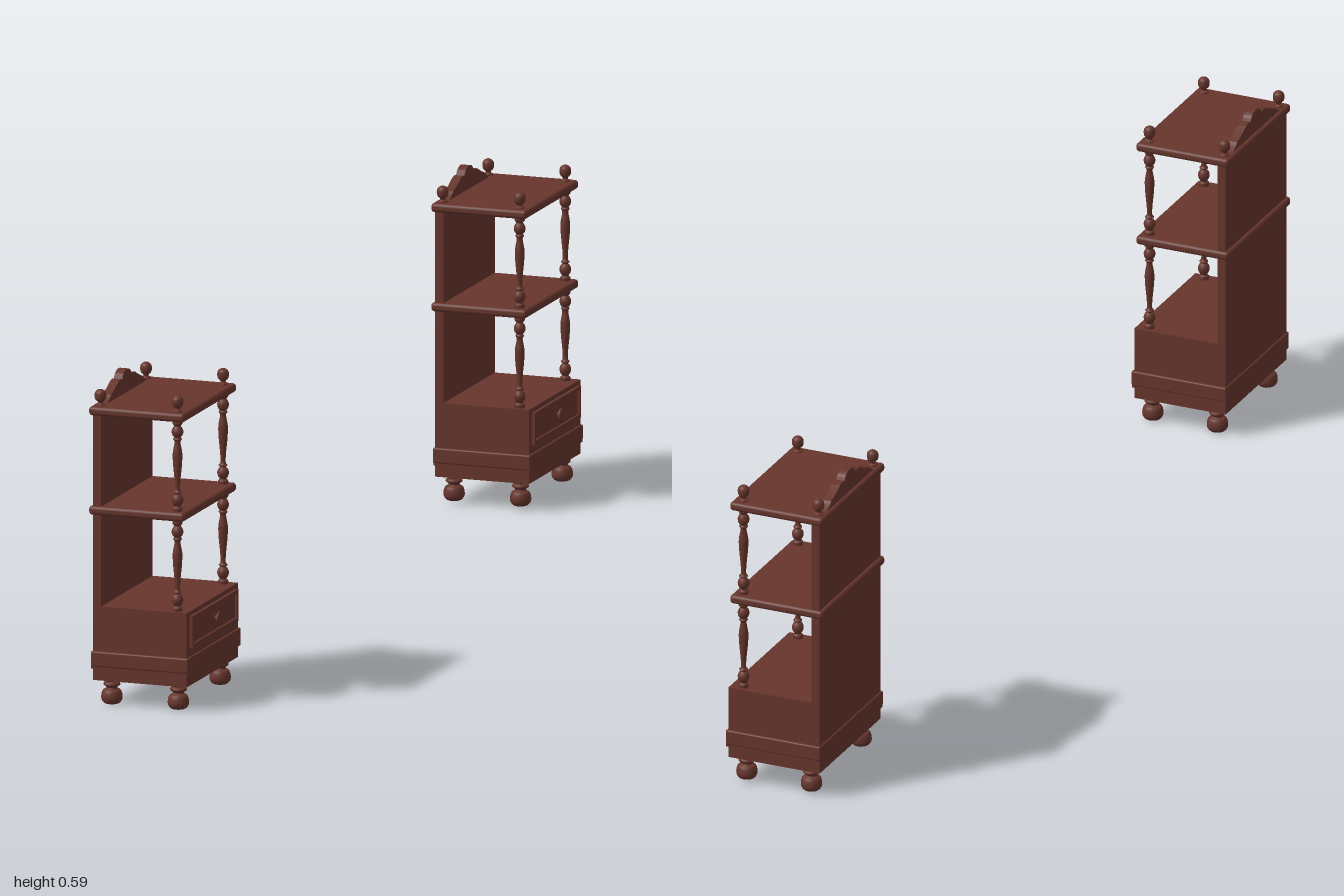
import * as THREE from 'three';
import { RoundedBoxGeometry } from 'three/addons/geometries/RoundedBoxGeometry.js';

const wood = new THREE.MeshStandardMaterial({ color: 0x66352c });
wood.name = 'mahogany';

function add(group, name, geometry, x = 0, y = 0, z = 0) {
  const mesh = new THREE.Mesh(geometry, wood);
  mesh.name = name;
  mesh.position.set(x, y, z);
  group.add(mesh);
  return mesh;
}

// Box given by its x and y limits and its half depth along z
function slab(group, name, x0, x1, y0, y1, halfZ, radius = 0) {
  const size = [x1 - x0, y1 - y0, halfZ * 2];
  const geometry = radius ? new RoundedBoxGeometry(...size, 3, radius) : new THREE.BoxGeometry(...size);
  return add(group, name, geometry, (x0 + x1) / 2, (y0 + y1) / 2, 0);
}

// Smooth turned piece through [radius, height] points, closed at both ends
function turned(points, steps = 48) {
  const curve = new THREE.CatmullRomCurve3(points.map(([r, y]) => new THREE.Vector3(r, y, 0)), false, 'centripetal');
  const profile = curve.getPoints(steps).map(p => new THREE.Vector2(Math.max(p.x, 0), p.y));
  return new THREE.LatheGeometry(profile, 20);
}

const foot = turned([
  [0, 0], [0.012, 0], [0.018, 0.006], [0.019, 0.014], [0.016, 0.024], [0.01, 0.028],
  [0.011, 0.031], [0.015, 0.034], [0.014, 0.038], [0.01, 0.04], [0.014, 0.043], [0.014, 0.046],
]);

const finial = turned([
  [0.009, 0], [0.009, 0.003], [0.005, 0.005], [0.005, 0.008], [0.009, 0.012],
  [0.0105, 0.019], [0.009, 0.026], [0.004, 0.03], [0, 0.031],
]);

// Spindle between two levels: bead, ball, long vase, ball, bead
const spindle = turned([
  [0.009, 0], [0.009, 0.006], [0.006, 0.009], [0.009, 0.014], [0.0105, 0.021], [0.008, 0.028],
  [0.005, 0.031], [0.008, 0.034], [0.005, 0.038], [0.005, 0.052], [0.008, 0.085], [0.0085, 0.105],
  [0.0055, 0.127], [0.008, 0.131], [0.006, 0.134], [0.009, 0.138], [0.0105, 0.145],
  [0.008, 0.152], [0.006, 0.155], [0.009, 0.159], [0.009, 0.166],
], 96);

const knob = turned([
  [0.016, 0], [0.016, 0.002], [0.009, 0.004], [0.005, 0.007], [0.006, 0.009],
  [0.012, 0.011], [0.012, 0.014], [0.006, 0.016], [0, 0.0165],
]);

// Scalloped crest with a round centre lobe, in (z, y)
function crestGeometry() {
  const s = new THREE.Shape();
  s.moveTo(-0.108, 0);
  s.quadraticCurveTo(-0.09, 0.006, -0.082, 0.014);
  s.quadraticCurveTo(-0.062, 0.02, -0.045, 0.029);
  s.quadraticCurveTo(-0.032, 0.034, -0.024, 0.03);
  s.bezierCurveTo(-0.018, 0.049, 0.018, 0.049, 0.024, 0.03);
  s.quadraticCurveTo(0.032, 0.034, 0.045, 0.029);
  s.quadraticCurveTo(0.062, 0.02, 0.082, 0.014);
  s.quadraticCurveTo(0.09, 0.006, 0.108, 0);
  s.closePath();
  const geometry = new THREE.ExtrudeGeometry(s, { depth: 0.016, bevelEnabled: false, curveSegments: 10 });
  return geometry.rotateY(Math.PI / 2);
}

// Rectangular moulding around the drawer, in (z, y)
function frameGeometry(halfW, halfH, border, depth) {
  const rect = (path, w, h) => path.moveTo(-w, -h).lineTo(w, -h).lineTo(w, h).lineTo(-w, h).closePath();
  const s = rect(new THREE.Shape(), halfW, halfH);
  s.holes.push(rect(new THREE.Path(), halfW - border, halfH - border));
  return new THREE.ExtrudeGeometry(s, { depth, bevelEnabled: false }).rotateY(Math.PI / 2);
}

// One cabinet with its drawer facing +x
function createCabinet(name) {
  const g = new THREE.Group();
  g.name = name;

  // Case, plinth moulding and back
  slab(g, 'case', -0.099, 0.079, 0.045, 0.18, 0.132);
  slab(g, 'plinthMoulding', -0.102, 0.083, 0.07, 0.098, 0.1365, 0.003);
  slab(g, 'plinthLip', -0.101, 0.082, 0.066, 0.071, 0.135);
  slab(g, 'backPanel', -0.099, -0.083, 0.18, 0.53, 0.132);

  // Shelves with rounded edges
  for (const [part, y] of [['middleShelf', 0.346], ['topShelf', 0.527]]) {
    slab(g, part, -0.106, 0.075, y, y + 0.016, 0.1365, 0.006);
  }
  add(g, 'crest', crestGeometry(), -0.099, 0.541, 0);

  // Drawer front, its frame and knob
  slab(g, 'drawerFront', 0.07, 0.081, 0.12, 0.166, 0.112);
  add(g, 'drawerFrame', frameGeometry(0.118, 0.029, 0.007, 0.006), 0.079, 0.143, 0);
  add(g, 'drawerKnob', knob, 0.079, 0.144, 0).rotation.z = -Math.PI / 2;

  // Turned posts, finials and feet
  for (const side of [-1, 1]) {
    const z = side * 0.117;
    add(g, 'lowerPost', spindle, 0.056, 0.18, z);
    add(g, 'upperPost', spindle, 0.056, 0.362, z);
    for (const x of [-0.09, 0.056]) add(g, 'finial', finial, x, 0.542, z);
    for (const x of [-0.072, 0.054]) add(g, 'foot', foot, x, 0, side * 0.107);
  }
  return g;
}

export function createModel() {
  const model = new THREE.Group();
  model.name = 'cabinetPair';
  const near = createCabinet('frontCabinet');
  near.position.set(0, 0, 0.8635);
  const far = createCabinet('backCabinet');
  far.position.set(0.011, 0.005, -0.8635);
  model.add(near, far);
  return model;
}
